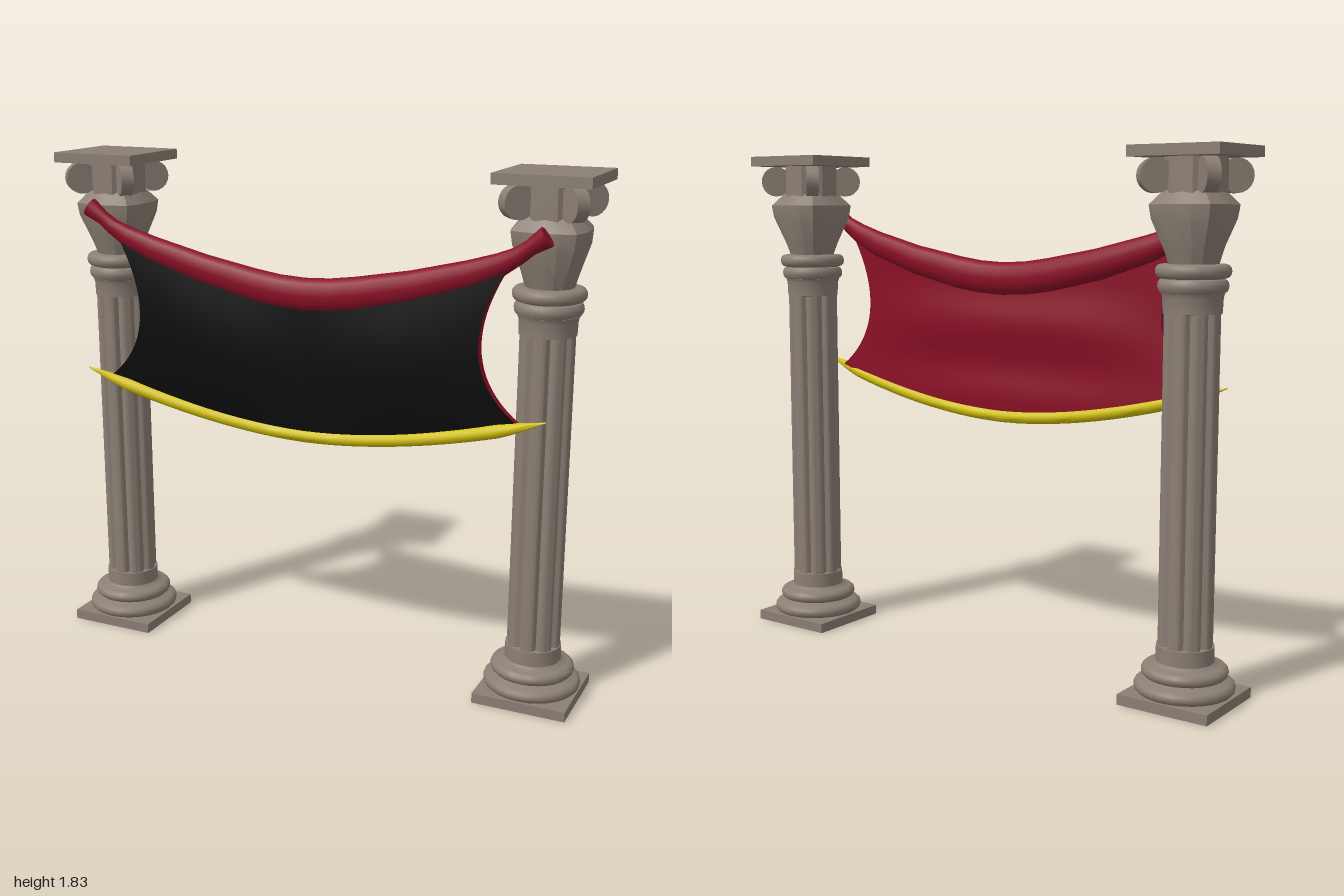
import * as THREE from 'three';
import { toCreasedNormals } from 'three/addons/utils/BufferGeometryUtils.js';

const V = (x, y, z) => new THREE.Vector3(x, y, z);
const material = (name, color, side = THREE.FrontSide) => {
  const m = new THREE.MeshStandardMaterial({ color, side });
  m.name = name;
  return m;
};

function addMesh(parent, name, geometry, mat, x = 0, y = 0, z = 0) {
  const mesh = new THREE.Mesh(geometry, mat);
  mesh.name = name;
  mesh.position.set(x, y, z);
  parent.add(mesh);
  return mesh;
}

function indexed(points, index) {
  const g = new THREE.BufferGeometry().setFromPoints(points);
  g.setIndex(index);
  return g;
}

// Closed skin through equal-length rings, with end caps
function loft(rings, crease = 0.7) {
  const n = rings[0].length, last = (rings.length - 1) * n, index = [];
  for (let i = 0; i < rings.length - 1; i++) {
    for (let j = 0; j < n; j++) {
      const k = (j + 1) % n, a = i * n + j, b = i * n + k;
      index.push(a, a + n, b + n, a, b + n, b);
    }
  }
  for (let j = 1; j < n - 1; j++) index.push(0, j, j + 1, last, last + j + 1, last + j);
  return toCreasedNormals(indexed(rings.flat(), index), crease);
}

// Smooth sheet from fn(s, t), both 0..1
function sheet(fn, ns, nt, flip = false) {
  const points = [], index = [];
  for (let j = 0; j <= nt; j++) for (let i = 0; i <= ns; i++) points.push(fn(i / ns, j / nt));
  for (let j = 0; j < nt; j++) {
    for (let i = 0; i < ns; i++) {
      const a = j * (ns + 1) + i, b = a + 1, c = b + ns + 1, d = c - 1;
      index.push(...(flip ? [a, c, b, a, d, c] : [a, b, c, a, c, d]));
    }
  }
  const g = indexed(points, index);
  g.computeVertexNormals();
  return g;
}

// Horizontal ring whose radius depends on the angle
const ringAt = (y, n, radius) => Array.from({ length: n }, (_, j) => {
  const t = j / n * Math.PI * 2, r = radius(t);
  return V(r * Math.cos(t), y, r * Math.sin(t));
});

// Half-round moulding for a lathe profile
const bulge = (y0, y1, r0, r1) => Array.from({ length: 7 }, (_, i) => {
  const a = (i / 6 - 0.5) * Math.PI;
  return new THREE.Vector2(r0 + (r1 - r0) * Math.cos(a), (y0 + y1) / 2 + (y1 - y0) / 2 * Math.sin(a));
});
const P = (r, y) => new THREE.Vector2(r, y);
const turned = (profile) => toCreasedNormals(new THREE.LatheGeometry(profile, 28), 0.6);

function column(stone) {
  const g = new THREE.Group();
  addMesh(g, 'plinth', new THREE.BoxGeometry(0.332, 0.036, 0.326), stone, 0, 0.018);
  addMesh(g, 'baseMoulding', turned([
    P(0.14, 0.03), ...bulge(0.036, 0.08, 0.148, 0.17), P(0.13, 0.088),
    ...bulge(0.09, 0.132, 0.125, 0.146), P(0.108, 0.136), P(0.098, 0.145), P(0.097, 0.198), P(0.08, 0.2),
  ]), stone);

  // Shaft with eight narrow grooves
  const fluted = t => 0.093 - 0.016 * Math.pow((1 - Math.cos(8 * t)) / 2, 4);
  addMesh(g, 'flutedShaft', loft([0.19, 1.31].map(y => ringAt(y, 96, fluted))), stone);

  addMesh(g, 'collar', turned([
    P(0.08, 1.298), P(0.096, 1.3), P(0.098, 1.35), P(0.103, 1.365),
    ...bulge(1.365, 1.41, 0.1, 0.115), ...bulge(1.412, 1.457, 0.105, 0.123), P(0.07, 1.458),
  ]), stone);

  // Bell of the capital: round at the foot, blending to a cut-cornered square
  const levels = [[1.45, 0.08, 0], [1.5, 0.093, 0.2], [1.6, 0.122, 0.6], [1.645, 0.124, 0.75], [1.69, 0.092, 0.4]];
  const bell = levels.map(([y, r, square]) => ringAt(y, 16, t => {
    const s = 1 / Math.max(Math.abs(Math.cos(t)), Math.abs(Math.sin(t)));
    return r * (1 + square * (Math.min(s, 1.3) - 1));
  }));
  addMesh(g, 'capitalBell', loft(bell, 0.35), stone);
  const neck = new THREE.CylinderGeometry(0.104, 0.104, 0.13, 8);
  neck.rotateY(Math.PI / 8);
  addMesh(g, 'capitalNeck', toCreasedNormals(neck, 0.3), stone, 0, 1.73);

  // Four diagonal scrolls under the top slab
  for (let i = 0; i < 4; i++) {
    const a = Math.PI / 4 + i * Math.PI / 2, d = 0.132;
    const scroll = toCreasedNormals(new THREE.CylinderGeometry(0.056, 0.056, 0.045, 20).rotateX(Math.PI / 2), 0.6);
    addMesh(g, 'scroll', scroll, stone, d * Math.cos(a), 1.736, d * Math.sin(a)).rotation.y = -a;
  }
  addMesh(g, 'topSlab', new THREE.BoxGeometry(0.324, 0.036, 0.32), stone, 0, 1.812);
  return g;
}

// Roll along x from stations [x, y, halfHeight, z, halfDepth], mirrored about x = 0
function roll(half) {
  const all = [...half.slice(1).reverse().map(([x, ...rest]) => [-x, ...rest]), ...half];
  const rings = all.map(([x, y, h, z, d], i) => {
    const p = all[Math.max(i - 1, 0)], q = all[Math.min(i + 1, all.length - 1)];
    const a = Math.atan2(q[1] - p[1], q[0] - p[0]);
    return Array.from({ length: 16 }, (_, j) => {
      const t = j / 16 * Math.PI * 2, c = h * Math.cos(t);
      return V(x - c * Math.sin(a), y + c * Math.cos(a), z - d * Math.sin(t));
    });
  });
  return loft(rings, 0.9);
}

// Hanging cloth surface: s across, t upward, side +1 front or -1 back
function clothPoint(s, t, side) {
  const u = s * 2 - 1, belly = Math.sin(Math.PI * t);
  const x = u * (0.785 - 0.055 * t - 0.448 * t * (1 - t));
  const low = 0.885 + 0.135 * (x / 0.785) ** 2;
  const high = 1.38 + 0.15 * Math.pow(Math.abs(x) / 0.72, 1.6);
  let z = 0.124 + 0.018 * u * u + side * 0.012;
  if (side > 0) z += belly * (0.01 + 0.012 * Math.sin(Math.PI * Math.abs(u)));
  else z -= belly * (1 - u * u) * (0.008 + 0.014 * Math.cos(t * 9 + u * u * 3));
  return V(x, low + (high - low) * t, z);
}

export function createModel() {
  const stone = material('stone', 0x8b7f74);
  const red = material('red cloth', 0x8a0f26, THREE.DoubleSide);
  const black = material('black cloth', 0x0b0b0b);
  const yellow = material('yellow trim', 0xd2c00c);
  const model = new THREE.Group();
  model.name = 'bannerBetweenColumns';

  for (const side of [-1, 1]) {
    const c = column(stone);
    c.name = side > 0 ? 'leftColumn' : 'rightColumn';
    c.position.x = side * 0.827;
    model.add(c);
  }

  const banner = new THREE.Group();
  banner.name = 'banner';
  model.add(banner);
  addMesh(banner, 'clothFront', sheet((s, t) => clothPoint(s, t, 1), 40, 20), black);
  addMesh(banner, 'clothBack', sheet((s, t) => clothPoint(s, t, -1), 40, 20, true), red);
  for (const s of [0, 1]) {
    const edge = (w, t) => clothPoint(s, t, 1).lerp(clothPoint(s, t, -1), w);
    addMesh(banner, 'clothEdge', sheet(edge, 1, 20, s === 0), red);
  }

  // Gathered top roll with flared ends
  addMesh(banner, 'topRoll', roll([
    [0, 1.381, 0.06, 0.118, 0.04], [0.1, 1.386, 0.06, 0.118, 0.04], [0.2, 1.4, 0.06, 0.118, 0.04],
    [0.4, 1.442, 0.055, 0.12, 0.038], [0.6, 1.5, 0.047, 0.128, 0.033], [0.7, 1.54, 0.038, 0.136, 0.028],
    [0.76, 1.573, 0.029, 0.14, 0.024], [0.8, 1.603, 0.026, 0.143, 0.023], [0.853, 1.64, 0.036, 0.146, 0.026],
  ]), red);

  // Bottom trim tapering to points
  const trim = [];
  for (let i = 0; i <= 16; i++) {
    const x = 0.88 * i / 16, w = Math.min(1, 0.08 + (0.88 - x) / 0.16);
    trim.push([x, 0.878 + 0.165 * Math.pow(i / 16, 1.8), 0.024 * w, 0.124 + 0.036 * (i / 16) ** 2, 0.026 * w]);
  }
  addMesh(banner, 'bottomTrim', roll(trim), yellow);
  return model;
}
